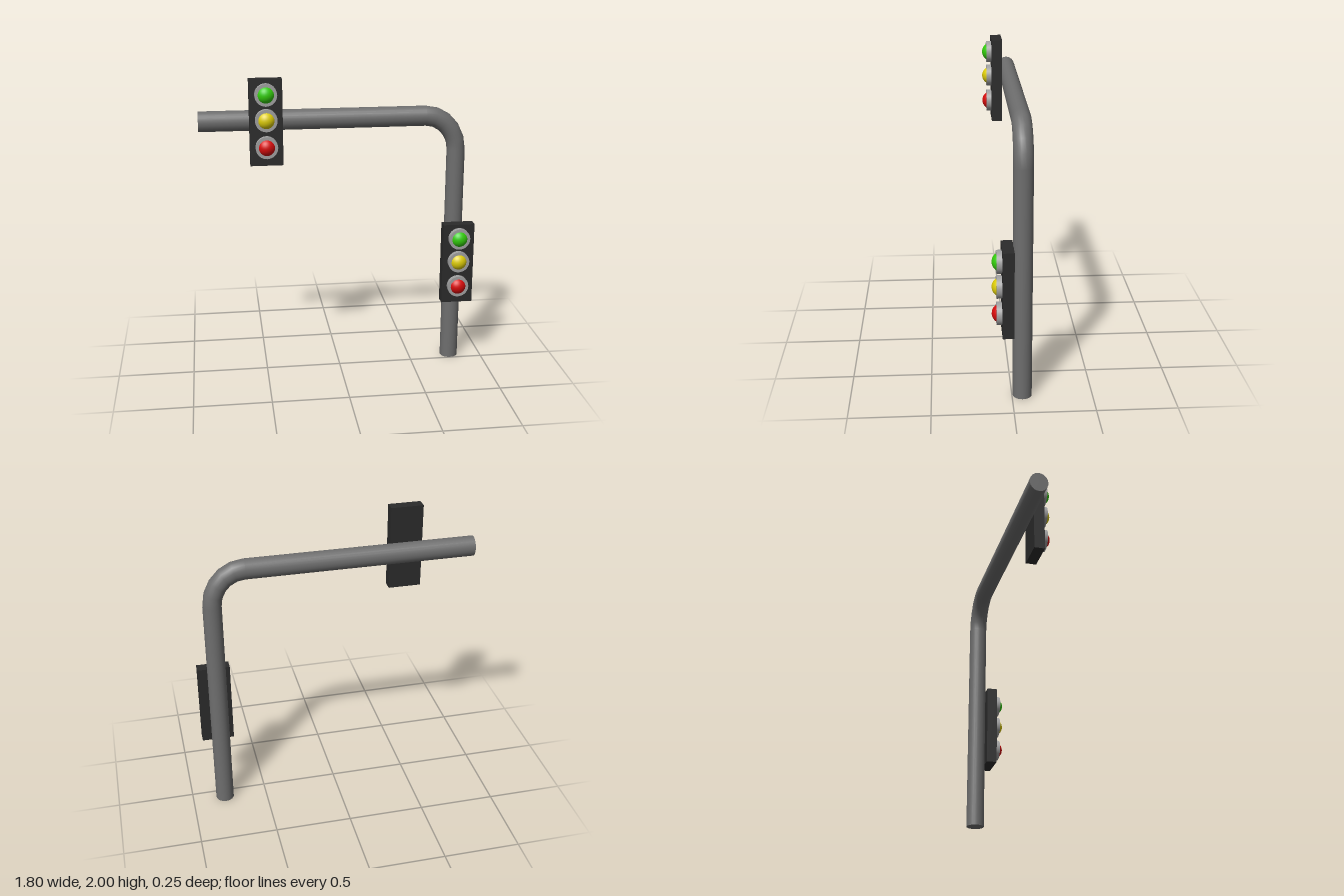
import * as THREE from 'three';

const mat = (color) => new THREE.MeshStandardMaterial({ color });
const poleMat = mat(0x6e6e6e);
const caseMat = mat(0x2b2b2b);
const rimMat = mat(0xa0a0a0);
const lampMats = [mat(0x33cc0c), mat(0xddcc08), mat(0xd80c0c)];

function add(parent, name, geometry, material, x, y, z) {
  const mesh = new THREE.Mesh(geometry, material);
  mesh.name = name;
  mesh.position.set(x, y, z);
  parent.add(mesh);
  return mesh;
}

// Bent pole: upright, elbow and arm, slightly taller than round in section
function makePole() {
  const pole = new THREE.Group();
  pole.name = 'pole';
  const stretch = 1.1, r = 0.06, bend = 0.21, sides = 24;
  const x = 0.783, armY = 1.717 / stretch, armEnd = -0.9;
  const bendX = x - bend, bendY = armY - bend;

  add(pole, 'upright', new THREE.CylinderGeometry(r, r, bendY, sides, 1, true), poleMat, x, bendY / 2, 0);
  add(pole, 'elbow', new THREE.TorusGeometry(bend, r, sides, 5, Math.PI / 2), poleMat, bendX, bendY, 0);
  const arm = new THREE.CylinderGeometry(r, r, bendX - armEnd, sides, 1, true).rotateZ(Math.PI / 2);
  add(pole, 'arm', arm, poleMat, (bendX + armEnd) / 2, armY, 0);

  // End caps
  const cap = new THREE.CircleGeometry(r, sides);
  add(pole, 'footCap', cap, poleMat, x, 0, 0).rotation.x = Math.PI / 2;
  add(pole, 'armCap', cap, poleMat, armEnd, armY, 0).rotation.y = -Math.PI / 2;

  pole.scale.y = stretch;
  pole.position.z = -0.064;
  return pole;
}

// Signal head: flat case with three rimmed lamps
function makeSignal(name, x, y) {
  const signal = new THREE.Group();
  signal.name = name;
  add(signal, 'case', new THREE.BoxGeometry(0.21, 0.552, 0.07), caseMat, 0, 0, 0.028);
  const rim = new THREE.CylinderGeometry(0.071, 0.071, 0.04, 32).rotateX(Math.PI / 2);
  const bulb = new THREE.SphereGeometry(0.06, 32, 20);
  ['green', 'yellow', 'red'].forEach((colour, i) => {
    const lampY = [0.182, 0.02, -0.154][i];
    add(signal, colour + 'Rim', rim, rimMat, 0, lampY, 0.076);
    add(signal, colour + 'Lamp', bulb, lampMats[i], 0, lampY, 0.064);
  });
  signal.position.set(x, y, 0);
  return signal;
}

export function createModel() {
  const model = new THREE.Group();
  model.name = 'trafficLight';
  model.add(
    makePole(),
    makeSignal('armSignal', -0.474, 1.724),
    makeSignal('poleSignal', 0.795, 0.723),
  );
  return model;
}
